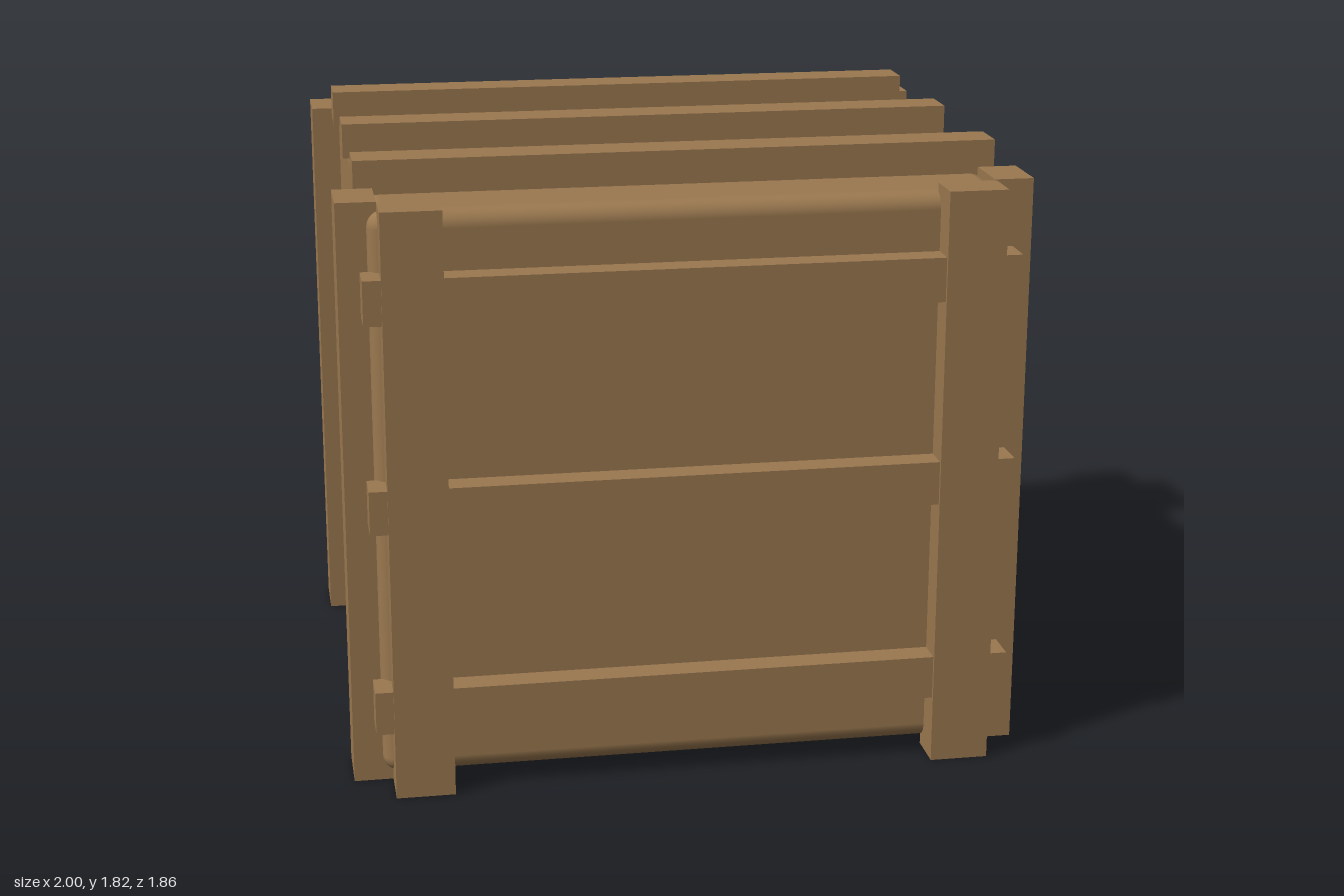
import * as THREE from 'three';
import { RoundedBoxGeometry } from 'three/addons/geometries/RoundedBoxGeometry.js';

export function createModel() {
  const crate = new THREE.Group();
  crate.name = 'crate';
  const wood = new THREE.MeshStandardMaterial({ name: 'wood', color: 0x9b7950 });

  const add = (name, geometry, x, y, z) => {
    const mesh = new THREE.Mesh(geometry, wood);
    mesh.name = name;
    mesh.position.set(x, y, z);
    crate.add(mesh);
  };

  // Soft-edged body, lifted slightly off the floor by the posts
  add('body', new RoundedBoxGeometry(1.83, 1.69, 1.68, 4, 0.05), 0, 0.875, 0);

  // Pairs of upright posts around each corner
  const facePost = new THREE.BoxGeometry(0.172, 1.742, 0.125);
  const sidePost = new THREE.BoxGeometry(0.115, 1.742, 0.176);
  for (const sx of [-1, 1]) {
    for (const sz of [-1, 1]) {
      add(sz > 0 ? 'frontPost' : 'backPost', facePost, sx * 0.8, 0.871, sz * 0.868);
      add(sx > 0 ? 'leftPost' : 'rightPost', sidePost, sx * 0.9425, 0.871, sz * 0.706);
    }
  }

  // Horizontal slats across the front and back
  const slat = new THREE.BoxGeometry(1.876, 0.13, 0.104);
  for (const sz of [-1, 1]) {
    for (const y of [0.264, 0.874, 1.484]) {
      add(sz > 0 ? 'frontSlat' : 'backSlat', slat, 0, y, sz * 0.868);
    }
  }

  // Slats across the lid
  const lidSlat = new THREE.BoxGeometry(1.876, 0.104, 0.126);
  for (const z of [-0.542, 0, 0.542]) add('lidSlat', lidSlat, 0, 1.767, z);

  return crate;
}
